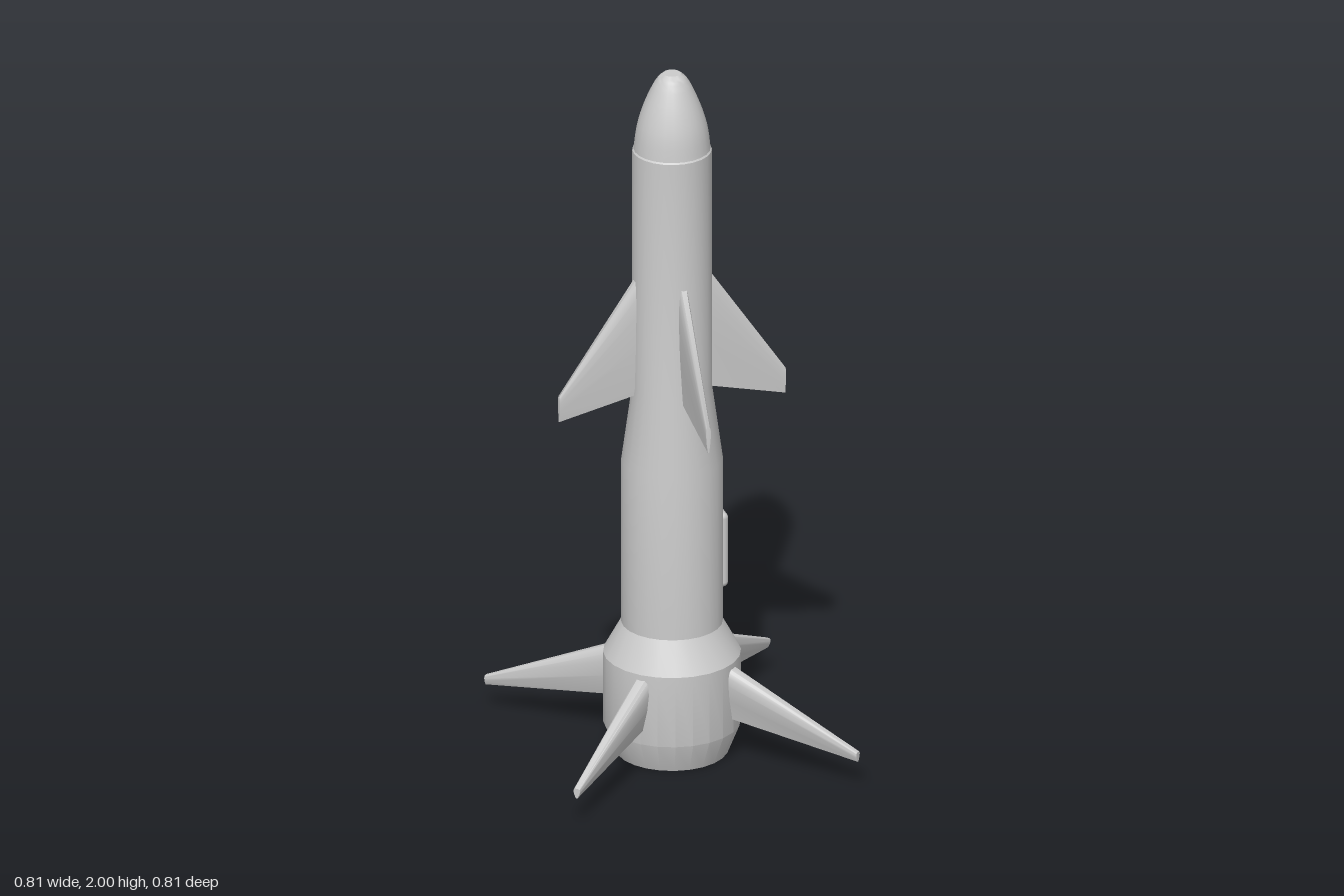
import * as THREE from 'three';
import { toCreasedNormals } from 'three/addons/utils/BufferGeometryUtils.js';
import { RoundedBoxGeometry } from 'three/addons/geometries/RoundedBoxGeometry.js';

const material = new THREE.MeshStandardMaterial({ color: 0xcccccc });
const SIDES = 24;

function addMesh(parent, name, geometry) {
  const mesh = new THREE.Mesh(geometry, material);
  mesh.name = name;
  parent.add(mesh);
  return mesh;
}

// Lathe from [radius, y] pairs listed bottom to top
function lathe(profile, crease) {
  const points = profile.map(([r, y]) => new THREE.Vector2(r, y));
  return toCreasedNormals(new THREE.LatheGeometry(points, SIDES), crease);
}

// Half of an aerofoil section: [fraction from leading edge, thickness factor]
const HALF = [[0, 0.5], [0.05, 0.8], [0.15, 0.97], [0.3, 1], [0.6, 0.8], [1, 0.25]];

// Fin along +x, lofted between root and tip stations { x, top, bottom, thick }
function finGeometry(root, tip) {
  const loop = [...HALF, ...HALF.map(([u, t]) => [u, -t]).reverse()];
  const n = loop.length;
  const positions = [];
  const index = [];
  for (const s of [root, tip]) {
    for (const [u, t] of loop) {
      positions.push(s.x, s.top + (s.bottom - s.top) * u, (t * s.thick) / 2);
    }
  }
  for (let i = 0; i < n; i++) {
    const j = (i + 1) % n;
    index.push(i, j, n + j, i, n + j, n + i);
  }
  // Root and tip caps
  for (let i = 1; i < n - 1; i++) {
    index.push(0, i + 1, i, n, n + i, n + i + 1);
  }
  const g = new THREE.BufferGeometry();
  g.setAttribute('position', new THREE.Float32BufferAttribute(positions, 3));
  // The loop runs down the +z side, so swap corners to face outward
  for (let i = 0; i < index.length; i += 3) {
    const a = new THREE.Vector3().fromArray(positions, index[i] * 3);
    const b = new THREE.Vector3().fromArray(positions, index[i + 1] * 3);
    const c = new THREE.Vector3().fromArray(positions, index[i + 2] * 3);
    const centre = new THREE.Vector3(
      (root.x + tip.x) / 2, (root.top + root.bottom + tip.top + tip.bottom) / 4, 0);
    const normal = b.clone().sub(a).cross(c.clone().sub(a));
    if (normal.dot(a.add(b).add(c).divideScalar(3).sub(centre)) < 0) {
      [index[i + 1], index[i + 2]] = [index[i + 2], index[i + 1]];
    }
  }
  g.setIndex(index);
  return toCreasedNormals(g, 0.7);
}

// Four copies of a fin around the body
function addFins(parent, name, geometry, startAngle) {
  const group = new THREE.Group();
  group.name = name + 's';
  for (let i = 0; i < 4; i++) {
    addMesh(group, name, geometry).rotation.y = startAngle + (i * Math.PI) / 2;
  }
  parent.add(group);
}

export function createModel() {
  const model = new THREE.Group();
  model.name = 'missile';

  // Body with recessed nozzle, flared tail, shoulder and tapered midsection
  addMesh(model, 'body', lathe([
    [0, 0.28], [0.143, 0.28], [0.144, 0], [0.153, 0], [0.187, 0.085],
    [0.187, 0.29], [0.138, 0.38], [0.138, 0.86], [0.108, 1.08],
    [0.108, 1.775], [0.104, 1.78],
  ], 0.42));

  // Rounded nose cone with a small flat tip
  const curve = new THREE.SplineCurve([
    [0.105, 1.775], [0.097, 1.84], [0.08, 1.9], [0.057, 1.955], [0.04, 1.985], [0.024, 2],
  ].map(([r, y]) => new THREE.Vector2(r, y)));
  const nose = curve.getPoints(16).map((p) => [p.x, p.y]);
  addMesh(model, 'noseCone', lathe([...nose, [0, 2]], 0.6));

  // Upper wings on the axes
  addFins(model, 'upperWing', finGeometry(
    { x: 0.09, top: 1.425, bottom: 1.065, thick: 0.03 },
    { x: 0.322, top: 1.085, bottom: 1.01, thick: 0.014 },
  ), 0);

  // Tail fins on the diagonals
  addFins(model, 'tailFin', finGeometry(
    { x: 0.15, top: 0.29, bottom: 0.13, thick: 0.05 },
    { x: 0.566, top: 0.103, bottom: 0.075, thick: 0.02 },
  ), Math.PI / 4);

  // Raised side hatch
  addMesh(model, 'sideHatch', new RoundedBoxGeometry(0.06, 0.22, 0.074, 3, 0.016))
    .position.set(0.122, 0.58, 0);

  return model;
}
